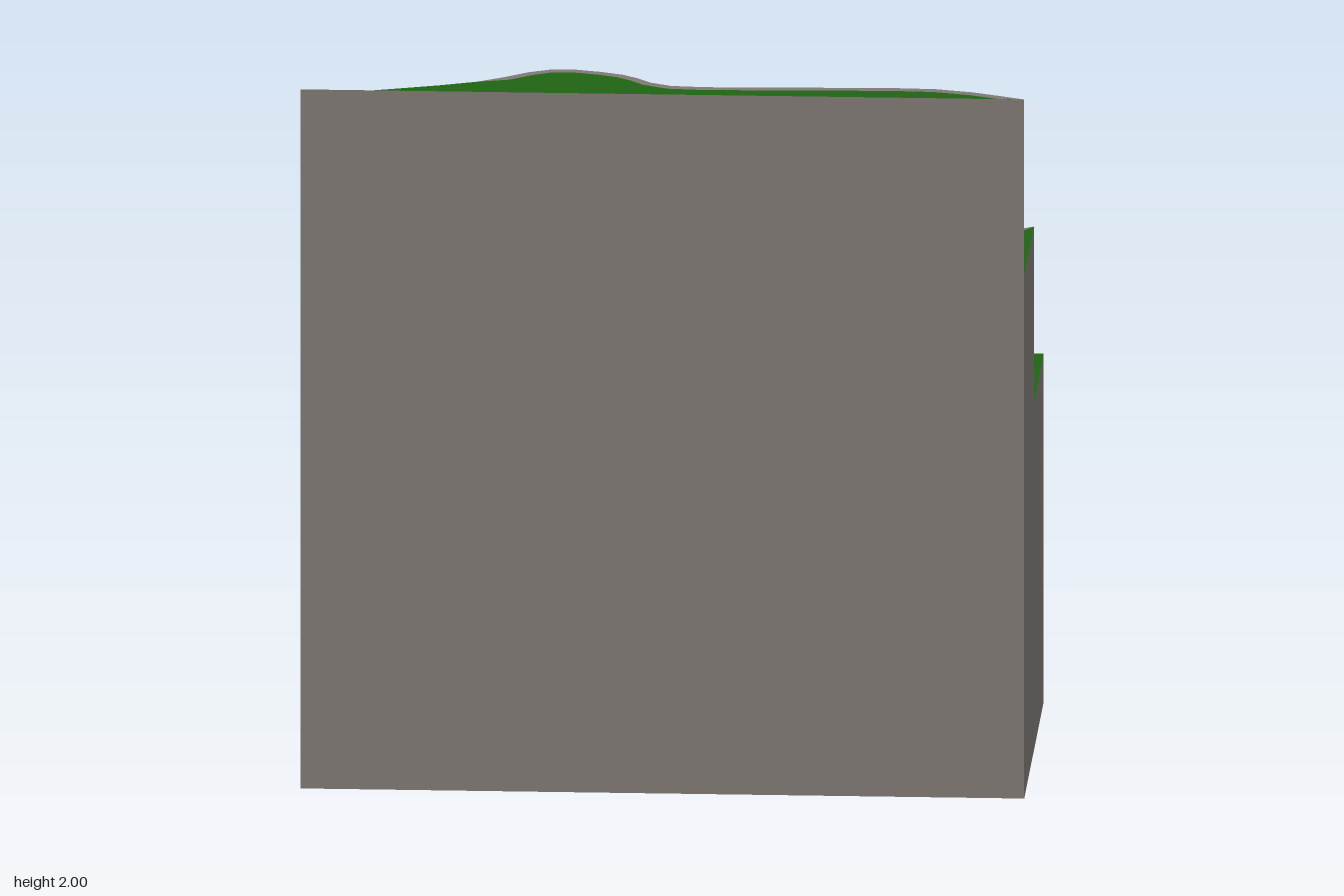
import * as THREE from 'three';

const rock = new THREE.MeshStandardMaterial({ color: 0x7f7974, side: THREE.DoubleSide });
const grass = new THREE.MeshStandardMaterial({ color: 0x206414, side: THREE.DoubleSide });

// Facetted line [x, z] along a smooth curve through a few points
function curve(...pts) {
  const spline = new THREE.SplineCurve(pts.map(([x, z]) => new THREE.Vector2(x, z)));
  return spline.getPoints((pts.length - 1) * 3).map((p) => [p.x, p.y]);
}

// Flat-shaded strip between two rows of [x, y, z] points
function strip(a, b) {
  const v = [];
  for (let i = 0; i + 1 < a.length; i++) {
    v.push(...a[i], ...a[i + 1], ...b[i + 1], ...a[i], ...b[i + 1], ...b[i]);
  }
  const g = new THREE.BufferGeometry();
  g.setAttribute('position', new THREE.Float32BufferAttribute(v, 3));
  g.computeVertexNormals();
  return g;
}

function add(group, name, geometry, material) {
  const m = new THREE.Mesh(geometry, material);
  m.name = name;
  group.add(m);
}

const lift = (pts, y) => pts.map(([x, z]) => [x, y, z]);
const wall = (pts, h) => strip(lift(pts, h), lift(pts, 0));

// Move the chosen corners of a closed outline inwards by d
function inset(pts, d, moves) {
  const n = pts.length;
  const normal = (p, q) => new THREE.Vector2(p[1] - q[1], q[0] - p[0]).normalize();
  return pts.map((p, i) => {
    if (!moves(i)) return p;
    const n1 = normal(pts[(i + n - 1) % n], p);
    const m = normal(p, pts[(i + 1) % n]).add(n1).normalize();
    const k = d / Math.max(m.dot(n1), 0.6);
    return [p[0] + m.x * k, p[1] + m.y * k];
  });
}

// A rock step: wall down to the ground, rock rim and grass top.
// edge is the exposed side, back closes the outline behind it.
function step(name, h, edge, back, { rim = 0.03, drop = 0, moves = () => true } = {}) {
  const g = new THREE.Group();
  g.name = name;
  const outline = [...edge, ...back];
  const inner = inset(outline, rim, moves);
  const outer = outline.map(([x, z], i) => [x, moves(i) ? h - drop : h, z]);
  const top = lift(inner, h);
  add(g, name + 'Wall', strip(outer.slice(0, edge.length), lift(edge, 0)), rock);
  add(g, name + 'Rim', strip([...outer, outer[0]], [...top, top[0]]), rock);
  const shape = new THREE.Shape(inner.map(([x, z]) => new THREE.Vector2(x, -z)));
  add(g, name + 'Grass', new THREE.ShapeGeometry(shape).rotateX(-Math.PI / 2).translate(0, h, 0), grass);
  return g;
}

// A ledge whose back follows the terrace edge it leans on
function ledge(name, h, edge, terrace, rim) {
  const from = edge[0][0] + 0.015;
  const to = edge[edge.length - 1][0] - 0.015;
  const back = terrace.filter(([x]) => x > from && x < to).reverse();
  return step(name, h, edge, back, { rim });
}

export function createModel() {
  const model = new THREE.Group();
  model.name = 'terracedCliff';

  // Flat front and stepped ends, open underneath
  add(model, 'frontWall', wall([[-1, 0.75], [1, 0.75]], 2), rock);
  for (const x of [-1, 1]) {
    const side = x > 0 ? 'left' : 'right';
    add(model, side + 'LowerEnd', wall([[x, -0.25], [x, 0.25]], 1), rock);
    add(model, side + 'MiddleEnd', wall([[x, 0.25], [x, 0.75]], 1.5), rock);
  }

  // Terrace edges, each terrace reaching to the foot of the next
  const upper = curve([-0.8, 0.75], [-0.52, 0.645], [-0.32, 0.505], [-0.12, 0.55], [0.02, 0.66],
    [0.35, 0.66], [0.75, 0.655], [1, 0.75]);
  const middle = curve([-1, 0.25], [-0.78, 0.21], [-0.55, 0.07], [-0.3, 0.14], [0, 0.245],
    [0.33, 0.25], [0.62, 0.375], [0.85, 0.335], [1, 0.25]);
  const lower = [
    ...curve([-1, -0.25], [-0.84, -0.19], [-0.57, -0.31], [-0.5, -0.385], [-0.1, -0.34], [0.15, -0.335], [0.43, -0.57]),
    ...curve([0.43, -0.69], [0.62, -0.59], [0.75, -0.36], [1, -0.25]),
  ];
  const rimFrom = (edge, first) => (i) => i >= first && i < edge.length - 1;
  model.add(
    step('upperTerrace', 2, upper, [], { moves: rimFrom(upper, 4) }),
    step('middleTerrace', 1.5, middle, [...upper].reverse().concat([[-1, 0.75]]),
      { rim: 0.02, moves: rimFrom(middle, 3) }),
    step('lowerTerrace', 1, lower, [...middle].reverse(), { drop: 0.015, moves: rimFrom(lower, 8) }),
  );

  // Ledges below the upper and middle terraces
  model.add(
    ledge('upperLedge', 1.83, curve([-0.34, 0.51], [-0.22, 0.355], [0, 0.325], [0.17, 0.46], [0.13, 0.65]), upper, 0.03),
    ledge('upperSmallLedge', 1.69, curve([0.17, 0.57], [0.26, 0.41], [0.36, 0.66]), upper, 0.03),
    ledge('middleEndLedge', 1.25, curve([-0.87, 0.23], [-0.85, 0.13], [-0.75, 0.075], [-0.62, 0.085]), middle, 0.025),
    ledge('middleLowLedge', 1.15, curve([-0.3, 0.14], [0, 0.03], [0.2, -0.06], [0.48, 0.01], [0.33, 0.25]), middle, 0.03),
    ledge('middleHighLedge', 1.33, curve([-0.22, 0.18], [0.1, 0.11], [0.34, 0.25]), middle, 0.02),
    ledge('middleSideLedge', 1.25,
      curve([0.33, 0.25], [0.48, 0.1], [0.48, 0], [0.62, 0.09], [0.72, 0.22], [0.93, 0.25]), middle, 0.025),
  );

  // Rising stair of ledges, neighbours sharing a curved side from rim to foot
  const sides = [
    curve([-0.33, -0.73], [-0.47, -0.64], [-0.54, -0.41]),
    curve([-0.16, -0.755], [-0.19, -0.58], [-0.3, -0.38]),
    curve([0.02, -0.735], [0, -0.55], [-0.11, -0.345]),
    curve([0.11, -0.735], [0.08, -0.52], [0.05, -0.345]),
    [[0.24, -0.73], [0.43, -0.69], [0.43, -0.57]],
  ];
  [0.18, 0.41, 0.63, 0.78].forEach((h, i) => {
    const edge = [...[...sides[i]].reverse(), ...sides[i + 1]];
    model.add(ledge('stair' + (i + 1), h, edge, lower, i === 2 ? 0.018 : 0.03));
  });
  return model;
}
